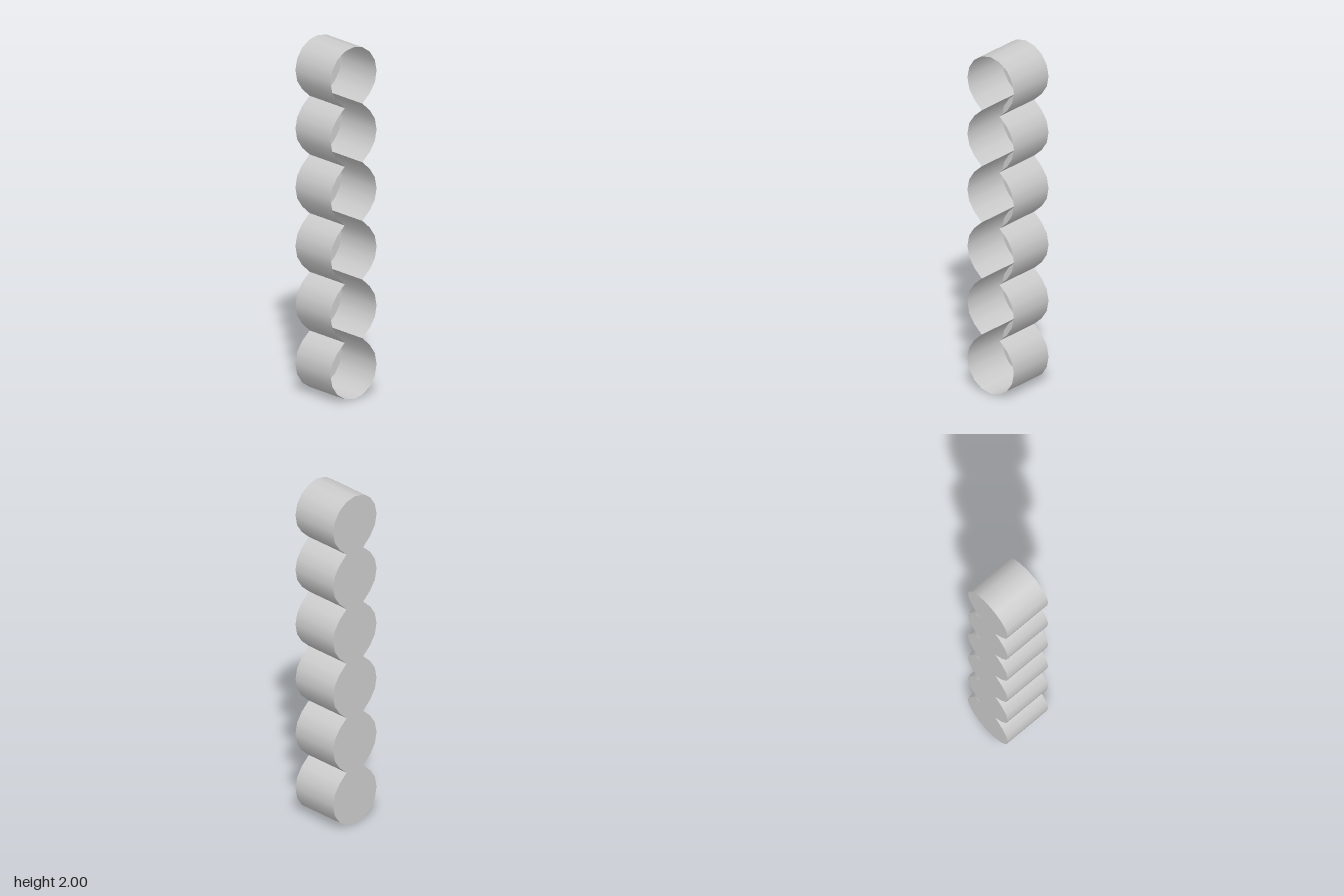
import * as THREE from 'three';

const COUNT = 6, PITCH = 2 / COUNT, R = 0.164, HALF = 0.146;
const STEP = Math.PI / 8; // sixteen-sided lobes
const material = new THREE.MeshStandardMaterial({ color: 0xcccccc, side: THREE.DoubleSide });

// Curved wall of one lobe, its axis along x, running over `steps` facets.
// The free edges are pulled to the neck shared with the neighbouring lobe.
function wall(start, steps) {
  const g = new THREE.CylinderGeometry(R, R, HALF * 2, steps, 1, true, start * STEP, steps * STEP);
  g.rotateZ(Math.PI / 2);
  g.scale(1, PITCH / 2 / R, 1);
  const p = g.attributes.position;
  for (let i = 0; i < p.count; i++) {
    const k = i % (steps + 1);
    if (k === 0 || k === steps) p.setY(i, Math.sign(p.getY(i)) * PITCH / 2);
  }
  return g;
}

export function createModel() {
  const model = new THREE.Group();
  model.name = 'lobedTray';

  const add = (name, geometry, y) => {
    const mesh = new THREE.Mesh(geometry, material);
    mesh.name = name;
    mesh.position.y = y;
    model.add(mesh);
  };

  // Lobe walls: the end lobes are closed round the outside, the others are two arcs
  for (let i = 0; i < COUNT; i++) {
    const y = PITCH * (i + 0.5);
    if (i === 0) add('bottomLobeWall', wall(5, 14), y);
    else if (i === COUNT - 1) add('topLobeWall', wall(-3, 14), y);
    else {
      add('frontLobeWall', wall(-3, 6), y);
      add('backLobeWall', wall(5, 6), y);
    }
  }

  // Flat panel closing one side, following the lobed outline
  const side = [new THREE.Vector2(0, 0)];
  for (let i = 0; i < COUNT; i++) {
    for (let k = -3; k <= 3; k++) {
      const neck = (k === -3 && i > 0) || (k === 3 && i < COUNT - 1);
      const dy = neck ? Math.sign(k) : Math.sin(k * STEP);
      if (k === -3 && i > 0) continue; // neck already added by the lobe below
      side.push(new THREE.Vector2(R * Math.cos(k * STEP), PITCH * (i + 0.5 + dy / 2)));
    }
  }
  side.push(new THREE.Vector2(0, 2));
  const mirrored = side.slice(1, -1).reverse().map((v) => new THREE.Vector2(-v.x, v.y));
  const panel = new THREE.ShapeGeometry(new THREE.Shape([...side, ...mirrored]));
  panel.rotateY(-Math.PI / 2);
  panel.translate(-HALF, 0, 0);
  add('sidePanel', panel, 0);

  return model;
}
